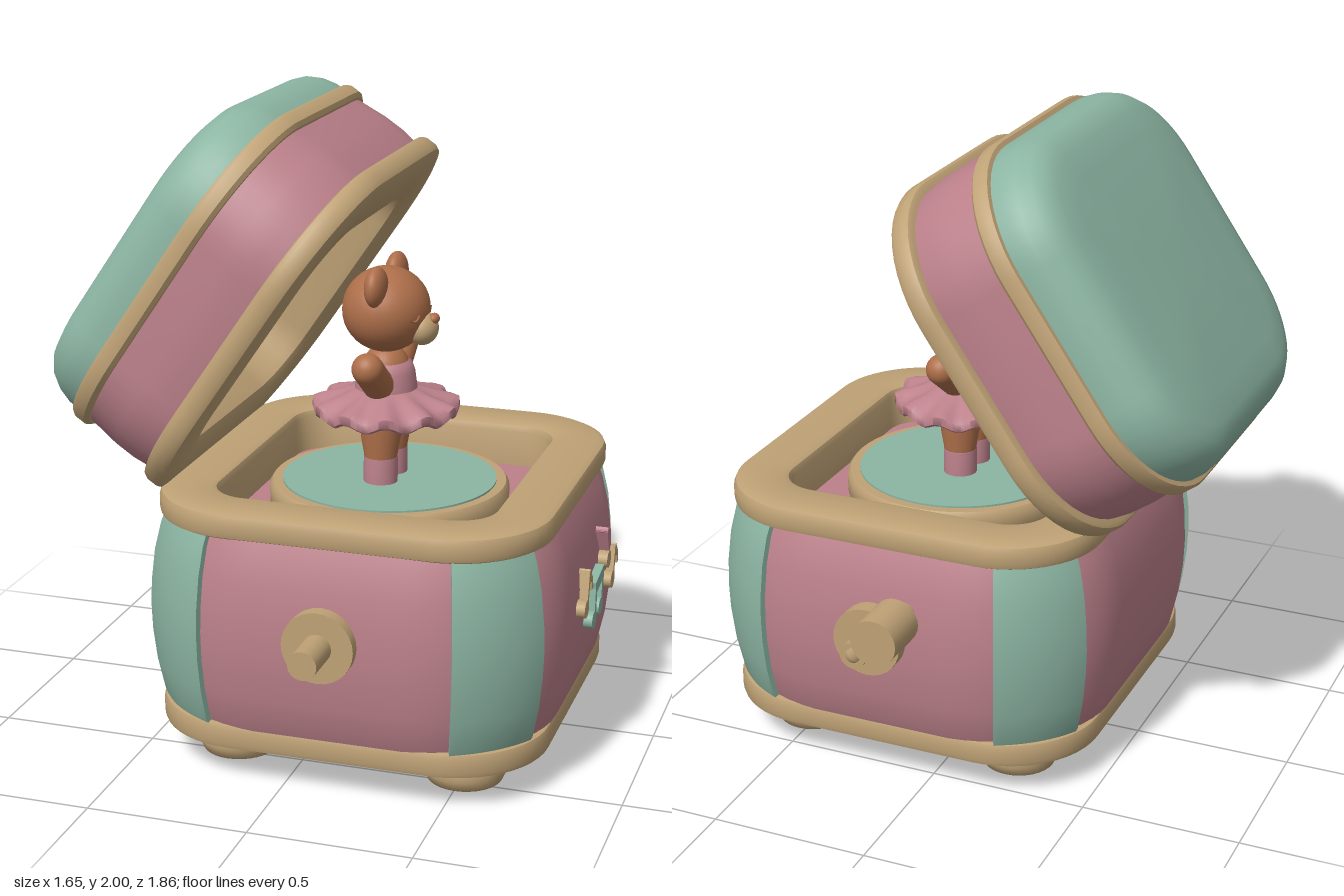
import * as THREE from 'three';
import { toCreasedNormals } from 'three/addons/utils/BufferGeometryUtils.js';

const material = (name, color) => {
  const m = new THREE.MeshStandardMaterial({ color });
  m.name = name;
  return m;
};

// Point on a rounded rectangle grown by o: corner k (0-3), t along its arc
function cornerPoint(hx, hz, r, o, k, t) {
  const rr = Math.max(Math.min(r + o, hx + o, hz + o), 0), a = (k + t) * Math.PI / 2;
  const cx = Math.max(hx + o - rr, 0), cz = Math.max(hz + o - rr, 0);
  return [(k === 0 || k === 3 ? cx : -cx) + rr * Math.cos(a), (k < 2 ? cz : -cz) + rr * Math.sin(a)];
}

// Surface through a grid of points given by fn(column, row)
function grid(cols, rows, fn, crease = 0.7) {
  const pos = [], idx = [];
  for (let j = 0; j < rows; j++) for (let i = 0; i < cols; i++) pos.push(...fn(i, j));
  for (let j = 0; j < rows - 1; j++) for (let i = 0; i < cols - 1; i++) {
    const a = j * cols + i, b = a + cols;
    idx.push(a, b, a + 1, a + 1, b, b + 1);
  }
  const g = new THREE.BufferGeometry();
  g.setAttribute('position', new THREE.Float32BufferAttribute(pos, 3));
  g.setIndex(idx);
  return toCreasedNormals(g, crease);
}

const N = 12;
// Sweeps a profile of [outward offset, y] around a rounded rectangle
function band([hx, hz, r], profile) {
  const ring = 4 * (N + 1);
  return grid(ring + 1, profile.length, (i, j) => {
    const c = i % ring, [o, y] = profile[j];
    const [x, z] = cornerPoint(hx, hz, r, o, Math.floor(c / (N + 1)), (c % (N + 1)) / N);
    return [x, y, z];
  });
}

// Plate wrapped round the middle of one corner, its ends tucked into the wall
function cornerPlate([hx, hz, r], profile, k) {
  const [t0, t1] = k % 2 ? [0.24, 0.68] : [0.32, 0.76];
  return grid(N + 3, profile.length, (i, j) => {
    const tuck = i === 0 || i === N + 2 ? 0.04 : 0, [o, y] = profile[j];
    const t = t0 + (t1 - t0) * Math.min(Math.max(i - 1, 0), N) / N;
    const [x, z] = cornerPoint(hx, hz, r, o - tuck, k, t);
    return [x, y, z];
  });
}

const lathe = (pts, seg = 32) => new THREE.LatheGeometry(pts.map(p => new THREE.Vector2(...p)), seg);

function add(parent, name, geo, mat, x = 0, y = 0, z = 0) {
  const m = new THREE.Mesh(geo, mat);
  m.name = name;
  m.position.set(x, y, z);
  parent.add(m);
  return m;
}

function group(parent, name, x = 0, y = 0, z = 0) {
  const g = new THREE.Group();
  g.name = name;
  g.position.set(x, y, z);
  parent.add(g);
  return g;
}

function ball(parent, name, mat, [x, y, z], [sx, sy, sz]) {
  add(parent, name, new THREE.SphereGeometry(1, 28, 20), mat, x, y, z).scale.set(sx, sy, sz);
}

// Round rod between two points
function rod(parent, name, mat, a, b, r, capsule = false) {
  const p = new THREE.Vector3(...a), q = new THREE.Vector3(...b), d = q.clone().sub(p), len = d.length();
  const geo = capsule ? new THREE.CapsuleGeometry(r, len, 8, 20) : new THREE.CylinderGeometry(r, r, len, 28);
  const m = add(parent, name, geo, mat);
  m.position.copy(p).add(q).multiplyScalar(0.5);
  m.quaternion.setFromUnitVectors(new THREE.Vector3(0, 1, 0), d.normalize());
}

export function createModel() {
  const pink = material('rose pink', 0xbc818b), teal = material('sage teal', 0x8cb5a3);
  const tan = material('warm tan', 0xbfa276), fur = material('bear brown', 0xae6f4a);
  const model = new THREE.Group();
  model.name = 'musicBox';

  // Box with bulging walls; its corners are rounder than the rims
  const box = group(model, 'box', 0.148, 0, 0.075), base = [0.61, 0.645, 0.3], belly = [0.61, 0.645, 0.38];
  const wall = [[-0.02, 0.15], [0.006, 0.2], [0.028, 0.3], [0.04, 0.4], [0.043, 0.48],
    [0.04, 0.56], [0.028, 0.66], [0.006, 0.75], [-0.02, 0.81]];
  add(box, 'walls', band(belly, wall), pink);
  const proud = wall.map(([o, y]) => [o + 0.018, y]);
  for (let k = 0; k < 4; k++) add(box, 'cornerPlate', cornerPlate(belly, proud, k), teal);
  add(box, 'bottomRim', band(base, [[-0.05, 0.11], [-0.015, 0.11], [-0.004, 0.115], [0, 0.128], [0, 0.172],
    [-0.005, 0.186], [-0.018, 0.19], [-0.09, 0.19]]), tan);
  add(box, 'underside', band(base, [[-0.645, 0.109], [-0.025, 0.109]]), fur);
  add(box, 'topRim', band(base, [[-0.09, 0.78], [-0.015, 0.78], [-0.004, 0.786], [0, 0.8], [0, 0.835],
    [-0.007, 0.852], [-0.025, 0.86], [-0.155, 0.86], [-0.172, 0.853], [-0.18, 0.835], [-0.18, 0.71]]), tan);
  add(box, 'innerFloor', band(base, [[-0.17, 0.72], [-0.645, 0.72]]), pink);
  const foot = lathe([[0, 0], [0.085, 0], [0.115, 0.012], [0.13, 0.045], [0.127, 0.08], [0.108, 0.105], [0.09, 0.125]]);
  for (const sx of [-1, 1]) for (const sz of [-1, 1]) add(box, 'foot', foot, tan, sx * 0.362, 0, sz * 0.395);

  // Turntable
  add(box, 'turntable', toCreasedNormals(lathe([[0.36, 0.71], [0.375, 0.73], [0.375, 0.785], [0.365, 0.8], [0, 0.8]], 56), 0.7), tan);
  add(box, 'turntableTop', new THREE.CylinderGeometry(0.335, 0.335, 0.008, 56), teal, 0, 0.802, 0);

  // Front peg and rear crank
  rod(box, 'pegCollar', tan, [0, 0.51, 0.64], [0, 0.51, 0.722], 0.11);
  rod(box, 'peg', tan, [0, 0.51, 0.7], [0, 0.51, 0.855], 0.044);
  rod(box, 'crankCollar', tan, [0, 0.51, -0.64], [0, 0.51, -0.733], 0.11);
  rod(box, 'crankShaft', tan, [0, 0.51, -0.7], [0, 0.51, -0.825], 0.042);
  rod(box, 'crankArm', tan, [0, 0.51, -0.8], [-0.156, 0.67, -0.8], 0.034, true);
  rod(box, 'crankPin', tan, [-0.156, 0.67, -0.79], [-0.156, 0.67, -0.86], 0.035);
  rod(box, 'crankHandle', tan, [-0.156, 0.67, -0.845], [-0.156, 0.67, -1.0], 0.072);

  // Music notes on the +x wall: heads and bars in [across, up]
  const notes = group(model, 'musicNotes', 0.805);
  notes.rotation.y = Math.PI / 2;
  const head = (mat, u, v) => {
    const m = add(notes, 'noteHead', new THREE.CylinderGeometry(0.032, 0.032, 0.05, 20), mat, u, v, -0.003);
    m.rotation.x = Math.PI / 2;
    m.scale.z = 0.85;
  };
  const bar = (mat, u1, v1, u2, v2, w = 0.018) => {
    const len = Math.hypot(u2 - u1, v2 - v1) + w * 0.6;
    const m = add(notes, 'noteBar', new THREE.BoxGeometry(len, w, 0.05), mat, (u1 + u2) / 2, (v1 + v2) / 2, -0.005);
    m.rotation.z = Math.atan2(v2 - v1, u2 - u1);
  };
  for (const [mat, u, v, h] of [[tan, -0.262, 0.51, 0.1], [tan, 0.128, 0.462, 0.095], [pink, 0.06, 0.555, 0.1]]) {
    const lean = mat === pink ? -0.04 : 0.025;
    head(tan, u, v);
    bar(mat, u + 0.022, v, u + 0.022 + lean, v + h);
    bar(mat, u + 0.022 + lean, v + h, u + 0.055 + lean, v + h - 0.035);
    bar(mat, u + 0.055 + lean, v + h - 0.035, u + 0.06 + lean, v + h - 0.06);
  }
  for (const u of [-0.145, -0.05]) {
    head(teal, u, u < -0.1 ? 0.43 : 0.44);
    bar(teal, u + 0.024, 0.435, u + 0.034, u < -0.1 ? 0.53 : 0.545, 0.022);
  }
  bar(teal, -0.111, 0.525, -0.016, 0.54, 0.04);

  // Open lid, tipped back about its hinge edge
  const lid = group(model, 'lid', -0.128, 1.296, 0.075), cover = [0.6, 0.63, 0.37];
  lid.rotation.z = 0.972;
  add(lid, 'lidRim', band(cover, [[-0.2, 0.28], [-0.2, 0.05], [-0.195, 0.02], [-0.175, 0.003], [-0.03, 0],
    [-0.008, 0.006], [0, 0.022], [0, 0.055], [-0.007, 0.07], [-0.02, 0.075], [-0.06, 0.075]]), tan);
  add(lid, 'lidLining', band(cover, [[-0.63, 0.27], [-0.19, 0.27]]), teal);
  add(lid, 'lidWalls', band(cover, [[-0.035, 0.06], [-0.026, 0.13], [-0.026, 0.2], [-0.038, 0.32]]), pink);
  add(lid, 'lidTrim', band(cover, [[-0.06, 0.298], [-0.025, 0.3], [-0.014, 0.312], [-0.014, 0.348],
    [-0.022, 0.36], [-0.07, 0.362]]), tan);
  add(lid, 'lidTop', band(cover, [[-0.036, 0.34], [-0.038, 0.39], [-0.05, 0.435], [-0.073, 0.475], [-0.105, 0.503],
    [-0.15, 0.517], [-0.23, 0.525], [-0.63, 0.53]]), teal);

  // Dancing bear, built facing +z and turned to +x
  const bear = group(model, 'bear', 0.135, 0, 0.075);
  bear.rotation.y = Math.PI / 2;
  ball(bear, 'head', fur, [0, 1.345, 0], [0.146, 0.132, 0.136]);
  ball(bear, 'muzzle', tan, [0, 1.292, 0.115], [0.06, 0.052, 0.05]);
  ball(bear, 'nose', fur, [0, 1.325, 0.152], [0.023, 0.017, 0.017]);
  ball(bear, 'chest', fur, [0, 1.15, 0], [0.078, 0.085, 0.075]);
  ball(bear, 'hips', fur, [0, 1.01, 0], [0.11, 0.075, 0.085]);
  for (const s of [-1, 1]) {
    ball(bear, 'ear', fur, [s * 0.108, 1.436, 0], [0.064, 0.064, 0.034]);
    const eye = add(bear, 'closedEye', new THREE.TorusGeometry(0.02, 0.004, 6, 14, Math.PI), fur, s * 0.08, 1.35, 0.113);
    eye.rotation.set(0, s * 0.5, Math.PI);
    rod(bear, 'arm', fur, [s * 0.085, 1.125, 0], [s * 0.193, 1.203, 0], 0.049, true);
    add(bear, 'leg', lathe([[0.047, 0.8], [0.05, 0.88], [0.062, 0.95], [0.062, 1.02]], 24), fur, s * 0.054, 0, 0);
    add(bear, 'shoe', lathe([[0.053, 0.8], [0.053, 0.885], [0.047, 0.892]], 24), pink, s * 0.054, 0, 0);
  }
  add(bear, 'bodice', lathe([[0.1, 1.05], [0.097, 1.1], [0.09, 1.15], [0.08, 1.178], [0.06, 1.188]]), pink);

  // Ruffled skirt: a lathe whose edge is waved
  const skirt = lathe([[0.06, 1.035], [0.14, 1.035], [0.215, 1.012], [0.225, 1.02], [0.224, 1.045],
    [0.2, 1.058], [0.15, 1.075], [0.11, 1.092], [0.085, 1.1]], 96);
  const p = skirt.attributes.position;
  for (let i = 0; i < p.count; i++) {
    const x = p.getX(i), z = p.getZ(i), r = Math.hypot(x, z);
    const w = Math.max(0, (r - 0.1) / 0.13) * Math.cos(11 * Math.atan2(z, x));
    p.setXYZ(i, x * (1 + 0.03 * w), p.getY(i) + 0.012 * w, z * (1 + 0.03 * w));
  }
  add(bear, 'skirt', toCreasedNormals(skirt, 1), pink);
  return model;
}
